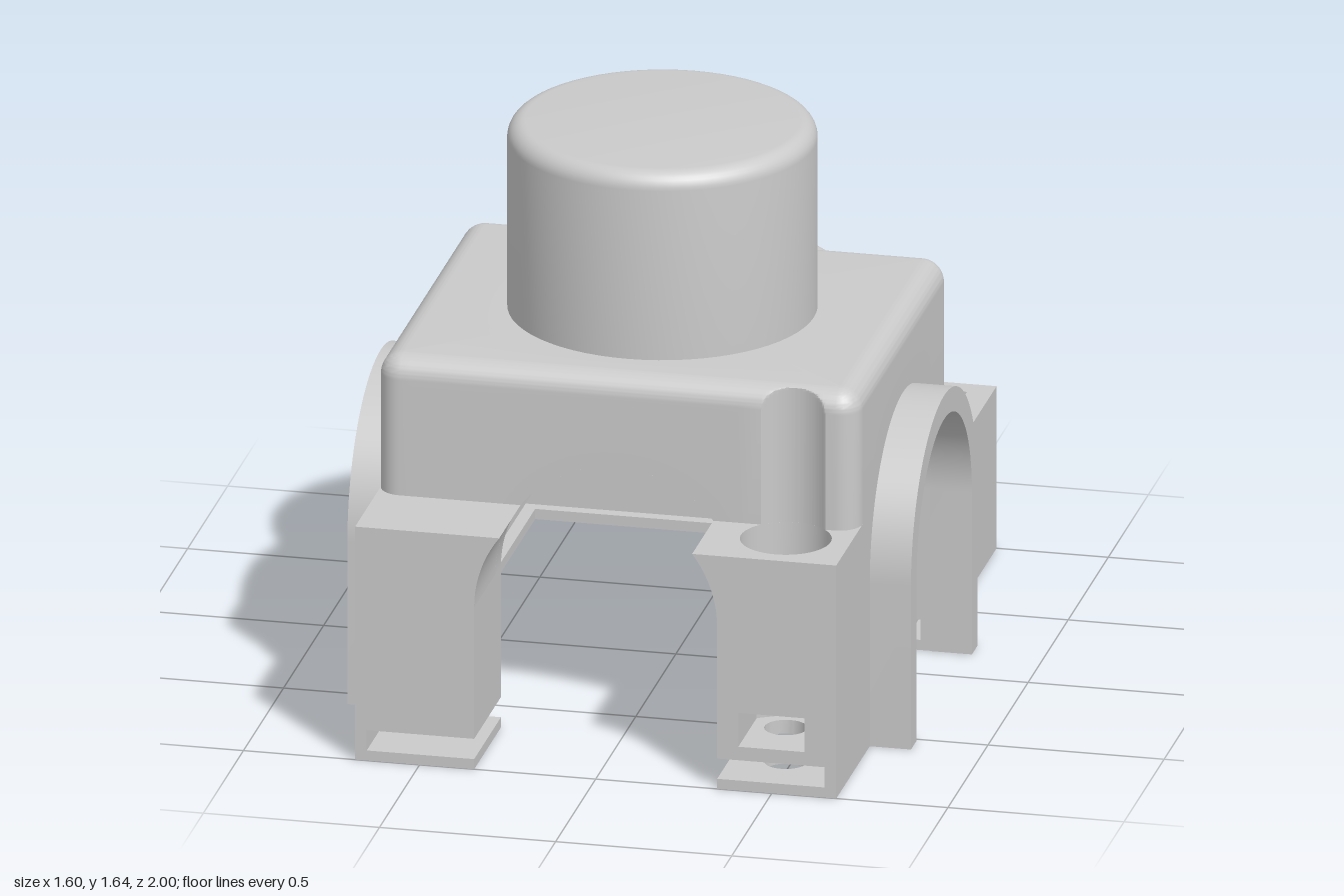
import * as THREE from 'three';
import { mergeVertices, toCreasedNormals } from 'three/addons/utils/BufferGeometryUtils.js';

const C = 0.167;      // z of the housing centre
const W = 0.683;      // half width of the housing
const R = 0.345;      // tunnel radius
const SPRING = 0.48;  // height where the arches begin
const CEILING = 1.02; // top of the inner room
const SCREW = [0.5, 0.825, 0.1275];
const PI = Math.PI;

const grey = new THREE.MeshStandardMaterial({ color: 0xcacaca, side: THREE.DoubleSide });
grey.name = 'plain grey';

const archHeight = (s) => SPRING + Math.sqrt(Math.max(0, R * R - s * s));

// Surface through closed rings with equal point counts
function loft(rings) {
  const n = rings[0].length, index = [];
  for (let r = 0; r < rings.length - 1; r++) {
    for (let i = 0; i < n; i++) {
      const j = (i + 1) % n, a = r * n, b = a + n;
      index.push(a + i, b + i, a + j, a + j, b + i, b + j);
    }
  }
  const g = new THREE.BufferGeometry();
  g.setAttribute('position', new THREE.Float32BufferAttribute(rings.flat(2), 3));
  g.setIndex(index);
  return toCreasedNormals(mergeVertices(g, 1e-5), 0.6);
}

// Horizontal slab from a plan outline of [x, z] points, with round holes [x, z, r]
function slab(points, y0, y1, holes = []) {
  const shape = new THREE.Shape(points.map(([x, z]) => new THREE.Vector2(x, -z)));
  for (const [x, z, r] of holes) {
    shape.holes.push(new THREE.Path().absarc(x, -z, r, 0, 2 * PI, true));
  }
  const g = new THREE.ExtrudeGeometry(shape, { depth: y1 - y0, bevelEnabled: false, curveSegments: 24 });
  g.rotateX(-PI / 2).translate(0, y0, 0);
  return toCreasedNormals(g, 0.6);
}

// Rounded housing skin, arched at the bottom of each side and grooved for the screw
function housingGeometry() {
  const r = 0.065, hx = W - r, hz = 0.503;
  const [sx, sz, sr] = SCREW;
  const along = [];
  for (let i = 0; i <= 32; i++) along.push(R * Math.cos((i / 32) * PI));
  for (let i = 0; i <= 40; i++) along.push(0.4085 + i * 0.004575, -0.4085 - i * 0.004575);
  const outline = [];
  for (let k = 0; k < 4; k++) {
    const a = (k * PI) / 2, n = [Math.cos(a), Math.sin(a)], t = [-n[1], n[0]];
    const N = k % 2 ? hz : hx, T = k % 2 ? hx : hz;
    const stops = [-T, ...along.filter((s) => Math.abs(s) < T), T].sort((p, q) => p - q);
    const at = (s) => [n[0] * N + t[0] * s, n[1] * N + t[1] * s];
    for (const s of stops) outline.push({ c: at(s), d: n, y: archHeight(s) });
    for (let i = 1; i < 8; i++) {
      const b = a + (i / 8) * (PI / 2);
      outline.push({ c: at(T), d: [Math.cos(b), Math.sin(b)], y: SPRING });
    }
  }
  const ring = (reach, y) => outline.map((p) => {
    const x = p.c[0] + p.d[0] * reach;
    let z = p.c[1] + p.d[1] * reach + C;
    if (Math.hypot(x - sx, z - sz) < sr) z = sz - Math.sqrt(sr * sr - (x - sx) ** 2);
    return [x, y ?? p.y, z];
  });
  const rings = [ring(r)];
  for (let i = 0; i <= 20; i++) {
    const a = (i / 20) * (PI / 2);
    rings.push(ring(r * Math.cos(a), 1.03 + r * Math.sin(a)));
  }
  rings.push(outline.map(({ c }) => {
    const l = 0.4 / Math.hypot(...c);
    return [c[0] * l, 1.095, c[1] * l + C];
  }));
  return loft(rings);
}

// Inner room wall with an arched opening, facing z
function archedWall(halfWidth) {
  const s = new THREE.Shape();
  s.moveTo(-halfWidth, SPRING).lineTo(-R, SPRING);
  s.absarc(0, SPRING, R, PI, 0, true);
  s.lineTo(halfWidth, SPRING).lineTo(halfWidth, CEILING).lineTo(-halfWidth, CEILING);
  return new THREE.ShapeGeometry(s, 40);
}

// Half-round tunnel lining along z, centred on the origin
const tunnel = (length) =>
  new THREE.CylinderGeometry(R, R, length, 48, 1, true, -PI / 2, PI).rotateX(-PI / 2);

export function createModel() {
  const model = new THREE.Group();
  model.name = 'housing';
  const add = (name, geometry) => {
    const mesh = new THREE.Mesh(geometry, grey);
    mesh.name = name;
    model.add(mesh);
    return mesh;
  };
  const box = (name, x0, x1, y0, y1, z0, z1) =>
    add(name, new THREE.BoxGeometry(x1 - x0, y1 - y0, z1 - z0))
      .position.set((x0 + x1) / 2, (y0 + y1) / 2, (z0 + z1) / 2);

  add('housingShell', housingGeometry());

  // Hollow inner room
  add('roomFrontWall', archedWall(0.61).translate(0, 0, 0.665));
  add('roomRearWall', archedWall(0.61).translate(0, 0, -0.33));
  add('roomCeiling', slab([[-0.61, -0.33], [0.61, -0.33], [0.61, 0.665], [-0.61, 0.665]],
    CEILING, CEILING + 0.01, [[0, C, 0.36]]));
  add('frontTunnel', tunnel(0.07).translate(0, SPRING, 0.7));

  // Upright drum with a rounded rim and a blind bore
  const fillet = (r, top, f) => Array.from({ length: 9 }, (_, i) => {
    const a = (i / 8) * (PI / 2);
    return new THREE.Vector2(r - f + f * Math.cos(a), top - f + f * Math.sin(a));
  });
  const drum = [new THREE.Vector2(0.43, 1.09), ...fillet(0.43, 1.645, 0.05), new THREE.Vector2(0, 1.645)];
  add('topDrum', toCreasedNormals(new THREE.LatheGeometry(drum, 64), 0.6)).position.z = C;
  const bore = [[0.36, CEILING], [0.36, 1.575], [0, 1.575]].map((p) => new THREE.Vector2(...p));
  add('topBore', toCreasedNormals(new THREE.LatheGeometry(bore, 64), 0.6)).position.z = C;

  // Rear half drum with a blind bore
  const half = [
    new THREE.Vector2(0, 0.54), new THREE.Vector2(R, 0.54), new THREE.Vector2(R, -0.07),
    new THREE.Vector2(R, 0), new THREE.Vector2(0.43, 0), ...fillet(0.43, 0.6, 0.05), new THREE.Vector2(0, 0.6),
  ];
  const rear = new THREE.LatheGeometry(half, 48, -PI / 2, PI).rotateX(-PI / 2);
  add('rearHalfDrum', toCreasedNormals(rear, 0.6)).position.set(0, SPRING, -0.4);

  // Rear tray walls, thinner where the card slot runs
  const tray = (t, y0, y1) => add('rearTray', slab([
    [-W, -0.18], [-W, -1], [W, -1], [W, -0.18],
    [W - t, -0.18], [W - t, -1 + t * 0.88], [t - W, -1 + t * 0.88], [t - W, -0.18],
  ], y0, y1));
  tray(0.07, 0, 0.03);
  tray(0.03, 0.03, 0.09);
  tray(0.07, 0.09, SPRING);

  // Arched collar profile, drawn in z and y
  const collar = new THREE.Shape();
  collar.moveTo(0.415, 0).lineTo(0.415, SPRING);
  collar.absarc(0, SPRING, 0.415, 0, PI, false);
  collar.lineTo(-0.415, 0).lineTo(-R, 0).lineTo(-R, SPRING);
  collar.absarc(0, SPRING, R, PI, 0, true);
  collar.lineTo(R, 0);

  // Web that carries the front arch above the leg
  const web = new THREE.Shape();
  web.moveTo(0.35, 0.69);
  for (let i = 0; i <= 10; i++) {
    const a = 0.654 * (1 - i / 10);
    web.lineTo(R * Math.cos(a), SPRING + R * Math.sin(a));
  }
  web.lineTo(0.35, SPRING);

  for (const side of [1, -1]) {
    const span = (a, b) => (side > 0 ? [a, b] : [-b, -a]);
    add('roomSideWall', archedWall(0.4975).rotateY(PI / 2).translate(side * 0.61, 0, C));
    add('sideTunnel', tunnel(0.075).rotateY(PI / 2).translate(side * 0.6475, SPRING, C));
    const ring = new THREE.ExtrudeGeometry(collar, { depth: 0.12, bevelEnabled: false, curveSegments: 40 });
    ring.rotateY(PI / 2).translate(side > 0 ? 0.68 : -0.8, 0, C);
    add('sideCollar', toCreasedNormals(ring, 0.6));

    // Undersides of the rear wall and the half drum
    box('rearWallUnderside', ...span(R, 0.615), SPRING - 0.003, SPRING + 0.003, -0.4, -0.33);
    box('drumUnderside', ...span(R, 0.43), SPRING - 0.003, SPRING + 0.003, -0.94, -0.4);

    // Front leg with its side wall, in layers: foot, card slot and upper block
    const inner = [[R, 0.665], [0.61, 0.665], [0.61, 0.512], [W, 0.512], [W, 1]];
    const plan = [...inner, [R, 1]].map(([x, z]) => [x * side, z]);
    const hole = side > 0 ? [[SCREW[0], SCREW[1], 0.06]] : [];
    add('frontFoot', slab(plan, 0, 0.03, hole));
    box('slotWall', ...span(0.65, W), 0.03, 0.09, 0.512, 1);
    if (side > 0) {
      add('frontLeg', slab(plan, 0.09, 0.13, hole));
      add('nutPocket', slab([
        ...inner, [0.593, 1], [0.593, 0.771], [0.5, 0.718], [0.405, 0.771], [0.405, 1], [R, 1],
      ], 0.13, 0.23));
      add('frontLeg', slab(plan, 0.23, 0.35, hole));
      add('screwRecess', slab(plan, 0.35, 0.69, [SCREW]));
    } else {
      add('frontLeg', slab(plan, 0.09, 0.69));
    }
    const wedge = new THREE.ExtrudeGeometry(web, { depth: 0.265, bevelEnabled: false });
    if (side < 0) wedge.rotateY(PI).translate(0, 0, 1);
    else wedge.translate(0, 0, 0.735);
    add('archWeb', toCreasedNormals(wedge, 0.6));
  }
  return model;
}
